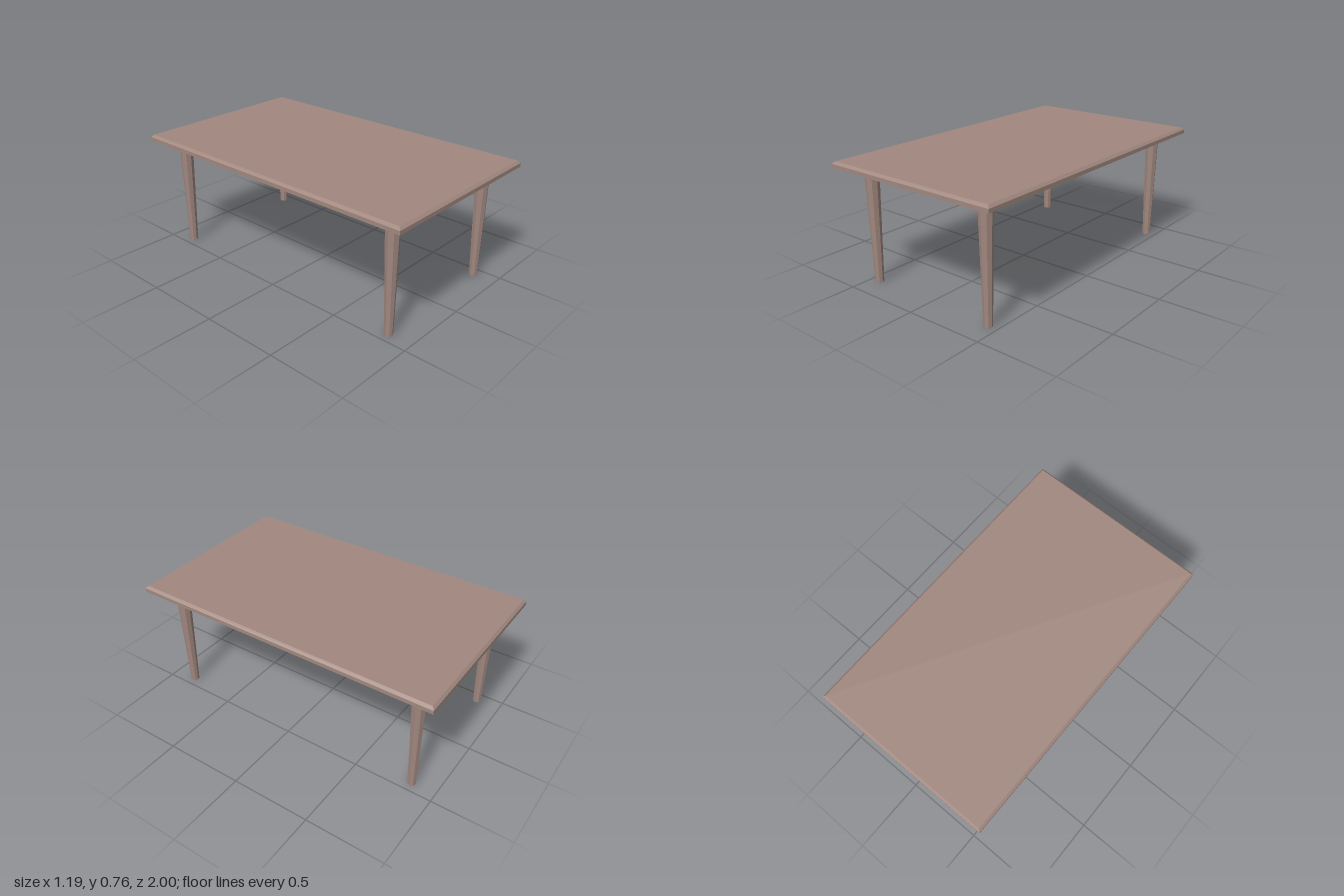
import * as THREE from 'three';

export function createModel() {
  const table = new THREE.Group();
  table.name = 'table';
  const wood = new THREE.MeshStandardMaterial({ color: 0xa1887f, flatShading: true });
  wood.name = 'brown wood';

  const halfW = 0.593, halfD = 1, bottom = 0.722, rim = 0.746, top = 0.761, bevel = 0.015;

  // Table top: a box whose upper ring is drawn in to form the bevelled edge
  const slab = new THREE.BoxGeometry(halfW * 2, top - bottom, halfD * 2, 1, 2, 1);
  const p = slab.attributes.position;
  for (let i = 0; i < p.count; i++) {
    const y = p.getY(i);
    if (Math.abs(y) < 1e-4) {
      p.setY(i, rim);
    } else if (y > 0) {
      p.setXYZ(i, Math.sign(p.getX(i)) * (halfW - bevel), top, Math.sign(p.getZ(i)) * (halfD - bevel));
    } else {
      p.setY(i, bottom);
    }
  }
  const flatSlab = slab.toNonIndexed();
  flatSlab.computeVertexNormals();
  const tableTop = new THREE.Mesh(flatSlab, wood);
  tableTop.name = 'tableTop';
  table.add(tableTop);

  // Four tapered eight-sided legs
  const legGeometry = new THREE.CylinderGeometry(0.044, 0.026, bottom, 8);
  for (const [z, end] of [[0.845, 'front'], [-0.845, 'back']]) {
    for (const [x, side] of [[0.437, 'Left'], [-0.437, 'Right']]) {
      const leg = new THREE.Mesh(legGeometry, wood);
      leg.name = `${end}${side}Leg`;
      leg.position.set(x, bottom / 2, z);
      table.add(leg);
    }
  }
  return table;
}
